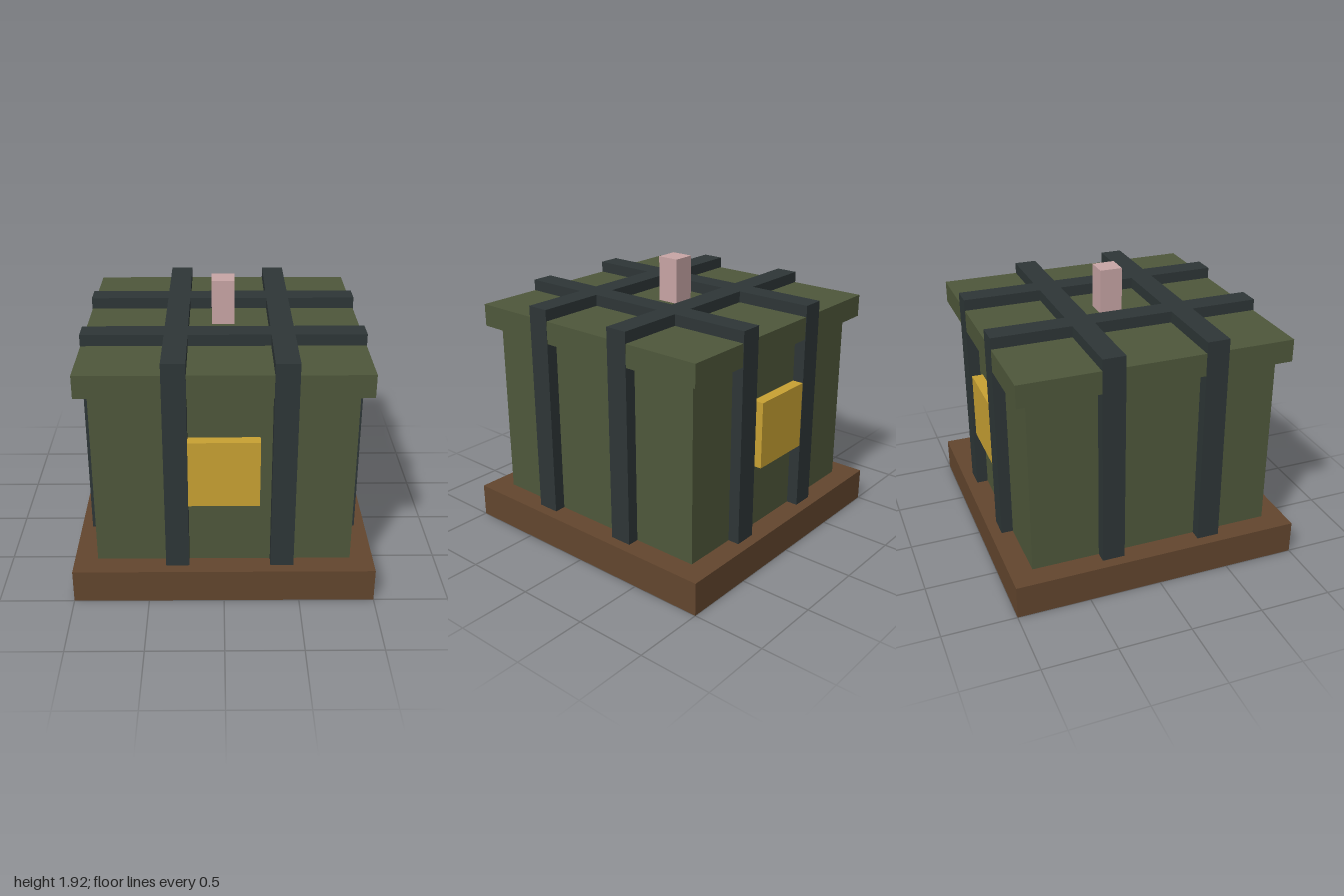
import * as THREE from 'three';

// Everything sits on a grid of 26 units across the base.
const U = 2 / 26;

const material = (name, color) => new THREE.MeshStandardMaterial({ name, color });

export function createModel() {
  const wood = material('brown wood', 0x63462e);
  const green = material('olive green', 0x4f583b);
  const iron = material('dark iron', 0x2e3637);
  const gold = material('gold', 0xc9a233);
  const pink = material('dusty pink', 0xc9a6a6);

  const model = new THREE.Group();
  model.name = 'strappedCrate';

  // Box between two corners, given in grid units.
  function addBox(name, mat, [x0, y0, z0], [x1, y1, z1], parent = model) {
    const geometry = new THREE.BoxGeometry((x1 - x0) * U, (y1 - y0) * U, (z1 - z0) * U);
    const mesh = new THREE.Mesh(geometry, mat);
    mesh.position.set((x0 + x1) / 2 * U, (y0 + y1) / 2 * U, (z0 + z1) / 2 * U);
    mesh.name = name;
    parent.add(mesh);
  }

  // Base, body and overhanging lid
  addBox('base', wood, [-13, 0, -13], [13, 3, 13]);
  addBox('body', green, [-11, 3, -11], [11, 19, 11]);
  addBox('lid', green, [-12, 19, -12], [12, 21, 12]);

  // Straps: two each way, down both sides and across the lid
  const straps = new THREE.Group();
  straps.name = 'straps';
  model.add(straps);
  const outer = 12.03; // a hair proud of the lid edge
  for (const s of [-5, 4]) {
    const e = s + 2;
    for (const [a, b] of [[-outer, -11], [11, outer]]) {
      addBox('frontBackStrap', iron, [s, 3, a], [e, 21, b], straps);
      addBox('sideStrap', iron, [a, 3, s], [b, 21, e], straps);
    }
    addBox('lidStrapLengthwise', iron, [s, 21, -outer], [e, 22, outer], straps);
    // Crosswise straps are cut where the lengthwise ones pass
    for (const [a, b] of [[-outer, -5], [-3, 4], [6, outer]]) {
      addBox('lidStrapCrosswise', iron, [a, 21, s], [b, 22, e], straps);
    }
  }

  // Lock plates on the front and back
  addBox('frontPlate', gold, [-3, 9, 11], [3, 15, 12]);
  addBox('backPlate', gold, [-3, 9, -12], [3, 15, -11]);

  // Knob on the lid
  addBox('knob', pink, [-1, 21, -1], [1, 25, 1]);

  return model;
}
